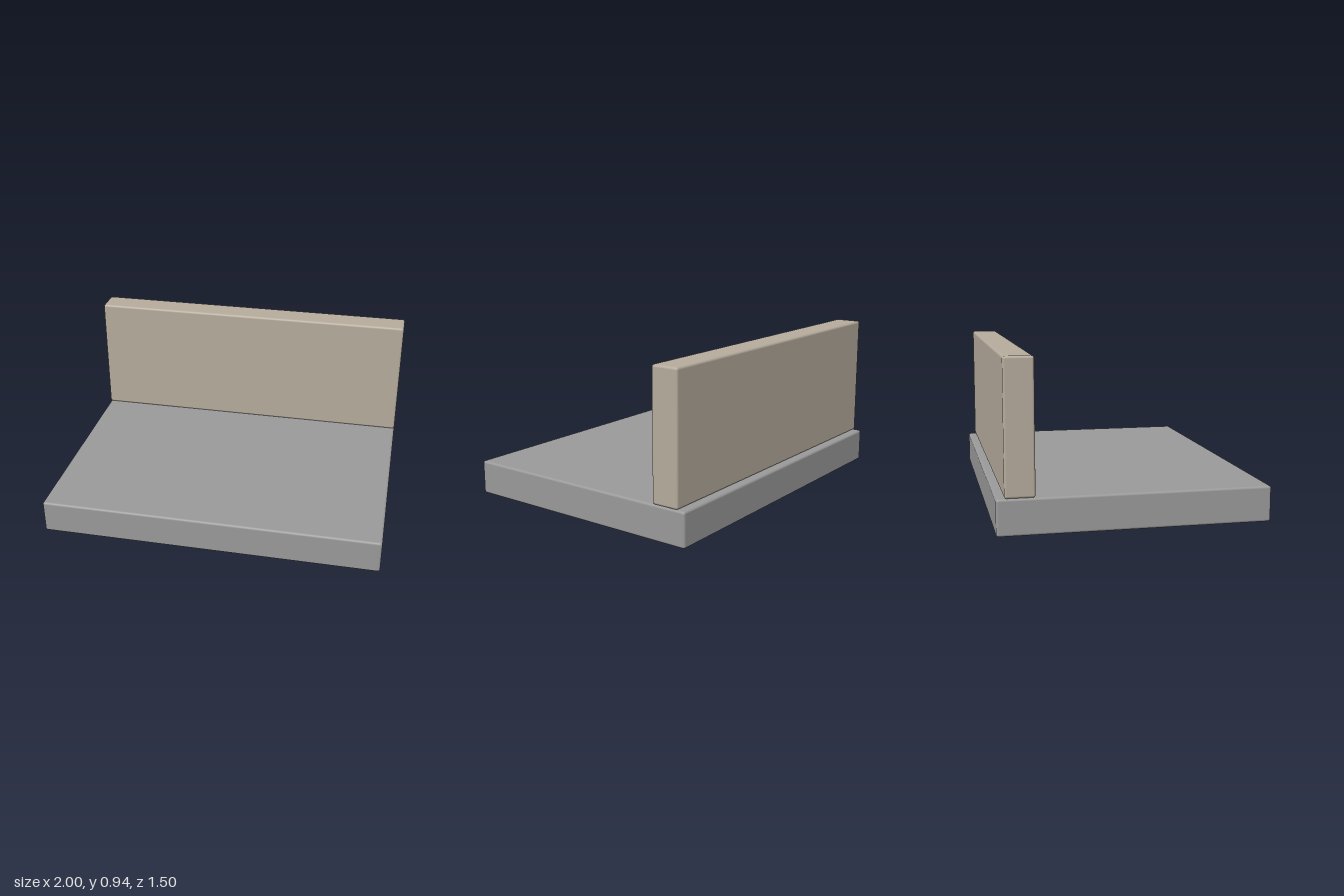
import * as THREE from 'three';
import { RoundedBoxGeometry } from 'three/addons/geometries/RoundedBoxGeometry.js';

const EDGE_RADIUS = 0.014;

// Block with softly rounded edges, placed by its bottom and its z centre
function block(name, color, width, height, depth, bottom, z) {
  const mesh = new THREE.Mesh(
    new RoundedBoxGeometry(width, height, depth, 3, EDGE_RADIUS),
    new THREE.MeshStandardMaterial({ color })
  );
  mesh.name = name;
  mesh.position.set(0, bottom + height / 2, z);
  return mesh;
}

export function createModel() {
  const group = new THREE.Group();
  group.name = 'floorAndWall';

  // Floor slab
  group.add(block('floorSlab', 0x999999, 2, 0.2, 1.5, 0, 0));

  // Upright wall standing near the back edge
  group.add(block('wall', 0xb5ab9c, 2, 0.735, 0.163, 0.2, -0.624));

  return group;
}
